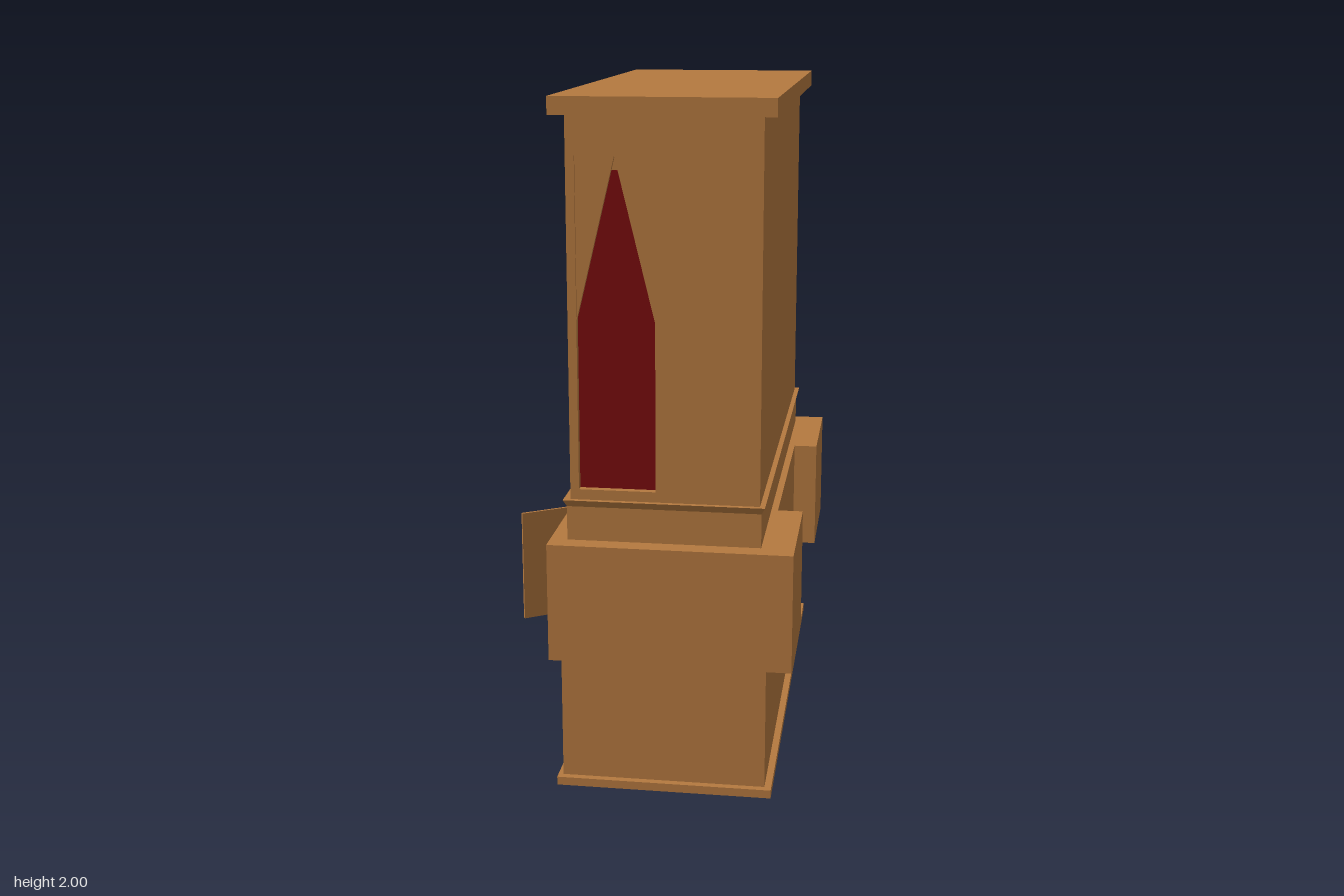
import * as THREE from 'three';

const wood = new THREE.MeshStandardMaterial({ color: 0xb5793f });
wood.name = 'wood';
const red = new THREE.MeshStandardMaterial({ color: 0x780a0c });
red.name = 'dark red curtain';

const DEPTH = 0.025; // recess depth of the windows
const SILL = 0.9, SPRING = 1.38, HEAD = 1.84;

function add(parent, name, geometry, material = wood) {
  const mesh = new THREE.Mesh(geometry, material);
  mesh.name = name;
  parent.add(mesh);
  return mesh;
}

// Box given by its limits on each axis
function box(parent, name, x0, x1, y0, y1, z0, z1, material = wood) {
  const mesh = add(parent, name, new THREE.BoxGeometry(x1 - x0, y1 - y0, z1 - z0), material);
  mesh.position.set((x0 + x1) / 2, (y0 + y1) / 2, (z0 + z1) / 2);
  return mesh;
}

function polygon(points) {
  return new THREE.Shape(points.map(([x, y]) => new THREE.Vector2(x, y)));
}

function extrude(shape, depth) {
  return new THREE.ExtrudeGeometry(shape, { depth, bevelEnabled: false });
}

// Wall sheet with pointed windows; windows are [left, right] pairs
function windowWall(name, left, right, windows) {
  const wall = new THREE.Group();
  wall.name = name;
  const sheet = polygon([[left, 0.87], [right, 0.87], [right, 1.95], [left, 1.95]]);
  for (const [a, b] of windows) {
    sheet.holes.push(polygon([[a, SILL], [a, HEAD], [b, HEAD], [b, SILL]]));
    const mid = (a + b) / 2;
    box(wall, 'curtain', a + 0.002, b - 0.002, SILL, 1.8, 0, 0.004, red);
    // Triangles that make the pointed head
    for (const side of [a, b]) {
      const tri = polygon([[side, SPRING], [mid, HEAD], [side, HEAD]]);
      add(wall, 'archCorner', extrude(tri, 0.013)).position.z = 0.006;
    }
  }
  add(wall, 'wallSheet', extrude(sheet, DEPTH));
  return wall;
}

// Moulding that flares outward toward its top
function moulding(parent) {
  const mesh = box(parent, 'moulding', -0.24, 0.335, 0.85, 0.87, -0.715, 0.715);
  const p = mesh.geometry.attributes.position;
  for (let i = 0; i < p.count; i++) {
    if (p.getY(i) < 0) {
      p.setX(i, p.getX(i) - Math.sign(p.getX(i)) * 0.01);
      p.setZ(i, p.getZ(i) - Math.sign(p.getZ(i)) * 0.01);
    }
  }
  mesh.geometry.computeVertexNormals();
}

export function createModel() {
  const model = new THREE.Group();
  model.name = 'cabinet';

  // Lower cabinet, open at the niche
  box(model, 'footPlate', -0.265, 0.365, 0, 0.025, -0.745, 0.745);
  box(model, 'lowerBody', -0.25, 0.345, 0.025, 0.4, -0.725, 0.725);
  box(model, 'bodyTop', -0.25, 0.345, 0.74, 0.75, -0.725, 0.725);
  const slope = polygon([[-0.25, 0.4], [0.345, 0.4], [0.345, 0.74], [0, 0.74], [-0.08, 0.63], [-0.215, 0.43]]);
  add(model, 'nicheBack', extrude(slope, 0.7)).position.z = -0.35;

  for (const s of [-1, 1]) {
    const [b0, b1] = s > 0 ? [0.35, 0.725] : [-0.725, -0.35];
    box(model, 'bodySide', -0.25, 0.345, 0.4, 0.74, b0, b1);
    const [c0, c1] = s > 0 ? [0.357, 0.76] : [-0.76, -0.363];
    box(model, 'endBlock', -0.28, 0.42, 0.4, 0.75, c0, c1);

    // Open niche door, swung outward
    const hinge = new THREE.Group();
    hinge.name = 'nicheDoor';
    hinge.position.set(-0.25, 0, s * 0.357);
    hinge.rotation.y = s * Math.atan2(0.11, 0.17);
    box(hinge, 'doorPanel', -0.202, 0, 0.405, 0.742, -0.004, 0.004);
    model.add(hinge);
  }

  // Plinth, moulding and upper body
  box(model, 'plinth', -0.23, 0.325, 0.75, 0.85, -0.705, 0.705);
  moulding(model);
  box(model, 'upperCore', -0.22 + DEPTH, 0.32, 0.87, 1.95, -0.7 + DEPTH, 0.7 - DEPTH);

  const front = windowWall('frontWall', -0.22, 0.32, [[-0.197, 0.025]]);
  front.position.z = 0.7 - DEPTH;
  const back = windowWall('backWall', -0.32, 0.22, [[-0.025, 0.197]]);
  back.position.z = -0.7 + DEPTH;
  back.rotation.y = Math.PI;
  const side = windowWall('windowSide', -0.7, 0.7, [[-0.677, -0.397], [-0.353, 0.353], [0.397, 0.677]]);
  side.position.x = -0.22 + DEPTH;
  side.rotation.y = -Math.PI / 2;
  model.add(front, back, side);

  box(model, 'topSlab', -0.26, 0.357, 1.95, 2, -0.735, 0.735);
  return model;
}
